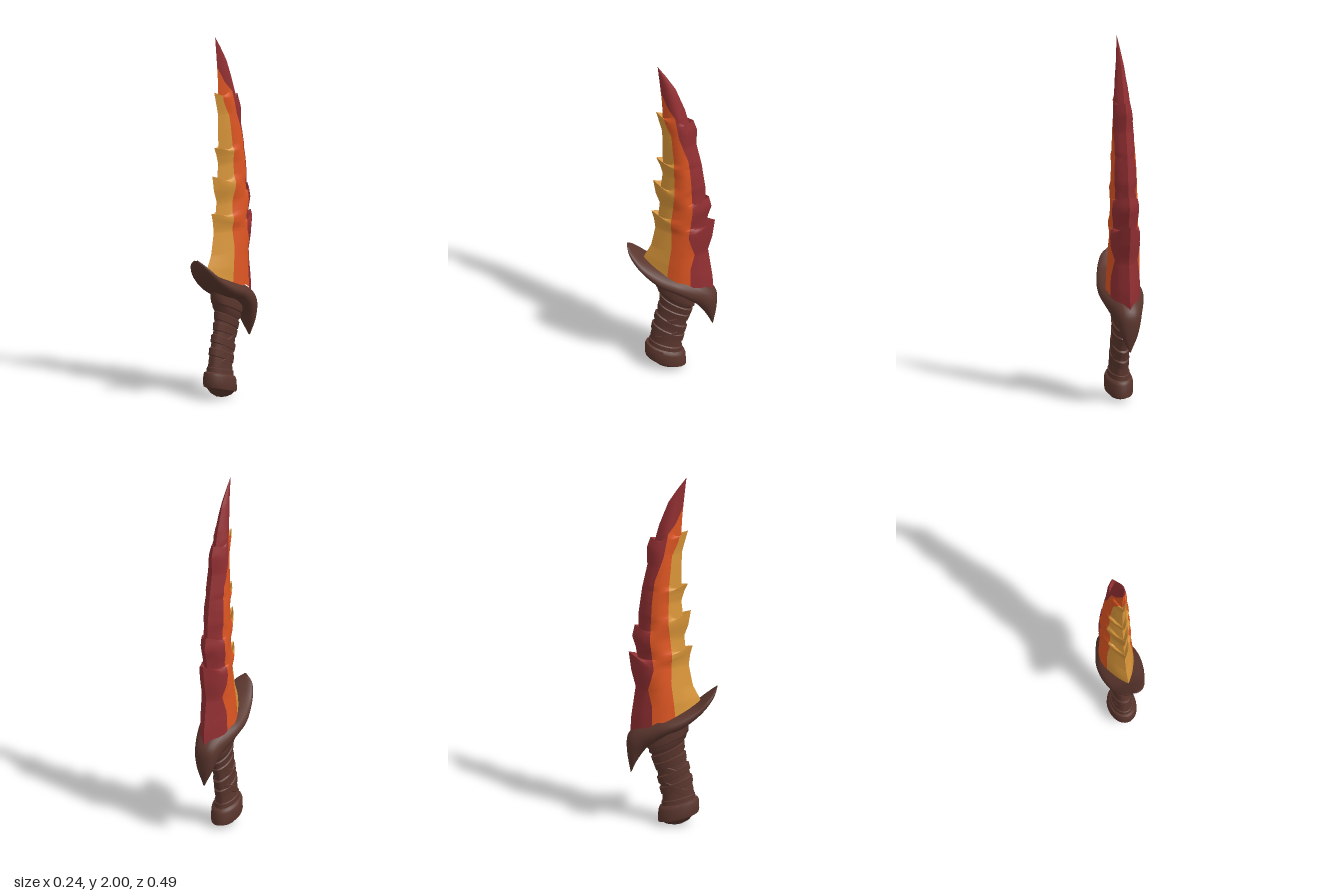
import * as THREE from 'three';
import { toCreasedNormals } from 'three/addons/utils/BufferGeometryUtils.js';

// Surface through rows of points; columns run to the right, rows run upward
function grid(rows, crease = 0.7) {
  const pos = [], idx = [], n = rows[0].length;
  rows.forEach(r => r.forEach(p => pos.push(...p)));
  for (let i = 0; i < rows.length - 1; i++) {
    for (let j = 0; j < n - 1; j++) {
      const a = i * n + j, b = a + 1, c = b + n, d = a + n;
      idx.push(a, b, c, a, c, d);
    }
  }
  const g = new THREE.BufferGeometry();
  g.setAttribute('position', new THREE.Float32BufferAttribute(pos, 3));
  g.setIndex(idx);
  return toCreasedNormals(g, crease);
}

// Piecewise linear lookup: table rows are [u, ...values]
function lookup(table, u) {
  let i = 0;
  while (i < table.length - 2 && u > table[i + 1][0]) i++;
  const a = table[i], b = table[i + 1];
  const t = THREE.MathUtils.clamp((u - a[0]) / (b[0] - a[0]), 0, 1);
  return a.slice(1).map((v, k) => v + (b[k + 1] - v) * t);
}

// Stack of tilted ellipses: [y, z, radiusX, radiusZ, tilt]
function ellipseLoft(rings, crease) {
  return grid(rings.map(([y, z, rx, rz, k]) => Array.from({ length: 33 }, (_, j) => {
    const a = j / 32 * Math.PI * 2, lz = rz * Math.cos(a);
    return [rx * Math.sin(a), y + k * lz, z + lz];
  })), crease);
}

// Blade edges as [row, y, z]; barbs fold upward over the notch above them
const FRONT = [
  [0.62, 0.68, 0.17], [0.72, 0.73, 0.15], [0.8, 0.8, 0.115], [0.92, 0.92, 0.092], [0.96, 0.98, 0.1],
  [1.0, 1.03, 0.113], [1.03, 0.98, 0.078], [1.1, 1.09, 0.068], [1.15, 1.15, 0.09], [1.19, 1.235, 0.104],
  [1.22, 1.17, 0.066], [1.3, 1.29, 0.052], [1.34, 1.345, 0.068], [1.365, 1.39, 0.088], [1.39, 1.34, 0.051],
  [1.57, 1.57, 0.055], [1.62, 1.635, 0.072], [1.66, 1.695, 0.088], [1.69, 1.64, 0.052], [1.75, 1.75, 0.055],
  [1.87, 1.87, 0.066], [2, 2, 0.08]];
const BACK = [
  [0.62, 0.5, -0.225], [0.68, 0.62, -0.22], [0.8, 0.8, -0.195], [0.88, 0.89, -0.218], [0.94, 1.0, -0.233],
  [0.98, 0.96, -0.183], [1.03, 1.03, -0.195], [1.08, 1.09, -0.214], [1.12, 1.155, -0.2], [1.15, 1.11, -0.18],
  [1.22, 1.22, -0.18], [1.37, 1.37, -0.16], [1.5, 1.5, -0.132], [1.59, 1.6, -0.135], [1.635, 1.66, -0.115],
  [1.665, 1.62, -0.097], [1.73, 1.73, -0.068], [1.86, 1.86, -0.018], [1.94, 1.94, 0.035], [2, 2, 0.08]];
// Colour borders [row, z], half width [row, x], cross-section [front to back, share of width]
const GOLD_END = [[0.62, 0.02], [0.72, 0.01], [0.84, -0.005], [1, 0], [1.18, -0.02], [1.4, -0.015],
  [1.56, 0], [1.63, 0.035], [1.72, 0.056], [1.73, 0.2], [2, 0.2]];
const ORANGE_END = [[0.62, -0.11], [0.72, -0.11], [0.8, -0.13], [0.92, -0.1], [1.08, -0.12], [1.29, -0.11],
  [1.42, -0.095], [1.56, -0.045], [1.69, -0.02], [1.74, 0.02], [1.83, 0.062], [1.84, 0.2], [2, 0.2]];
const WIDTH = [[0.62, 0.092], [1, 0.08], [1.35, 0.067], [1.6, 0.051], [1.8, 0.028], [1.93, 0.01], [2, 0]];
const PROFILE = [[0, 0], [0.2, 0.5], [0.42, 0.9], [0.55, 1], [0.68, 0.97], [0.85, 0.6], [1, 0]];

function bladePatches() {
  const levels = [...FRONT, ...BACK].map(p => p[0]);
  for (let i = 0; i <= 60; i++) levels.push(0.62 + 1.38 * i / 60);
  const us = [...new Set(levels.map(u => +u.toFixed(4)))].sort((a, b) => a - b);
  const gold = [], orange = [], orangeRight = [], red = [];
  const mirror = pts => pts.map(([x, y, z]) => [-x, y, z]).reverse();
  for (const u of us) {
    const [fy, fz] = lookup(FRONT, u), [ky, kz] = lookup(BACK, u), [w] = lookup(WIDTH, u);
    const point = z => {
      const s = THREE.MathUtils.clamp((fz - z) / Math.max(fz - kz, 1e-6), 0, 1);
      const y = u + (fy - u) * Math.max(0, 1 - s / 0.35) + (ky - u) * Math.max(0, (s - 0.65) / 0.35);
      return [w * lookup(PROFILE, s)[0], y, z];
    };
    const span = (a, b, n) => Array.from({ length: n + 1 }, (_, i) => point(a + (b - a) * i / n));
    const z1 = Math.min(fz, lookup(GOLD_END, u)[0]);
    const z2 = Math.min(fz, Math.max(kz, lookup(ORANGE_END, u)[0]));
    const g = span(fz, z1, 4), o = span(z1, z2, 4), r = span(z2, kz, 6);
    gold.push([...mirror(g), ...g.slice(1)]);
    orange.push(o);
    orangeRight.push(mirror(o));
    red.push([...r, ...mirror(r).slice(1)]);
  }
  return { gold, orange, orangeRight, red };
}

// Guard sections from front tip to rear hook: top [halfWidth, y, z] and bottom [y, z]
const GUARD = [
  [0.008, 0.797, 0.247, 0.79, 0.247], [0.05, 0.775, 0.225, 0.745, 0.232], [0.075, 0.745, 0.19, 0.695, 0.2],
  [0.095, 0.705, 0.14, 0.64, 0.15], [0.118, 0.66, 0.035, 0.57, 0.06], [0.119, 0.635, -0.05, 0.53, -0.03],
  [0.101, 0.61, -0.12, 0.48, -0.1], [0.081, 0.572, -0.19, 0.45, -0.135], [0.063, 0.515, -0.238, 0.41, -0.165],
  [0.042, 0.43, -0.242, 0.36, -0.195], [0.004, 0.305, -0.222, 0.31, -0.216]];

function guardGeometry() {
  const top = new THREE.CatmullRomCurve3(GUARD.map(g => new THREE.Vector3(g[0], g[1], g[2])));
  const bottom = new THREE.CatmullRomCurve3(GUARD.map(g => new THREE.Vector3(g[0], g[3], g[4])));
  const rows = [];
  for (let i = 0; i <= 40; i++) {
    const a = top.getPoint(i / 40), b = bottom.getPoint(i / 40);
    rows.push(Array.from({ length: 25 }, (_, j) => {
      const t = j / 24 * Math.PI * 2, k = (1 - Math.cos(t)) / 2;
      const s = Math.sin(t), x = Math.sign(s) * Math.pow(Math.abs(s), 0.85);
      return [a.x * x, a.y + (b.y - a.y) * k, a.z + (b.z - a.z) * k];
    }));
  }
  return grid(rows, 1.1);
}

const GRIP = [[0.13, 0.036, 0.055, 0.088, 0.25], [0.19, 0.034, 0.049, 0.083, 0.28], [0.26, 0.02, 0.045, 0.082, 0.3],
  [0.36, -0.004, 0.043, 0.079, 0.35], [0.42, -0.02, 0.045, 0.083, 0.4], [0.5, -0.025, 0.05, 0.09, 0.45]];

export function createModel() {
  const model = new THREE.Group();
  const material = (name, color) => new THREE.MeshStandardMaterial({ name, color });
  const brown = material('brown leather', 0x5a362d);
  const redMat = material('dark red', 0x922f32);
  const orangeMat = material('orange', 0xdd5522);
  const goldMat = material('gold', 0xda9639);
  const add = (name, geometry, mat) => {
    const mesh = new THREE.Mesh(geometry, mat);
    mesh.name = name;
    model.add(mesh);
  };

  // Flame blade in three colour zones
  const blade = bladePatches();
  add('bladeFrontFlame', grid(blade.gold), goldMat);
  add('bladeLeftSide', grid(blade.orange), orangeMat);
  add('bladeRightSide', grid(blade.orangeRight), orangeMat);
  add('bladeBackFlame', grid(blade.red), redMat);

  // Swept guard and the collar below it
  add('guard', guardGeometry(), brown);
  add('collar', ellipseLoft([
    [0.44, -0.022, 0.045, 0.08, 0.45], [0.462, -0.022, 0.056, 0.1, 0.45], [0.485, -0.02, 0.058, 0.103, 0.45],
    [0.49, -0.02, 0.064, 0.11, 0.45], [0.525, -0.02, 0.067, 0.112, 0.45], [0.56, -0.012, 0.064, 0.106, 0.4],
    [0.575, -0.01, 0.03, 0.05, 0.4]]), brown);

  // Grip with crossing leather wraps
  add('grip', ellipseLoft(GRIP, 1), brown);
  [[0.42, 0.5], [0.37, 0.42], [0.315, -0.3], [0.3, 0.5], [0.235, 0.42], [0.215, -0.35]].forEach(([y, tilt], i) => {
    const rings = [[-0.026, -0.006], [-0.02, 0.004], [0.016, 0.006], [0.024, -0.006]].map(([dy, dr]) => {
      const [z, rx, rz] = lookup(GRIP, y + dy);
      return [y + dy, z, rx + dr, rz + dr, tilt];
    });
    add('gripWrap' + (i + 1), ellipseLoft(rings), brown);
  });

  // Pommel
  add('pommel', ellipseLoft([
    [0.003, 0.022, 0.001, 0.001, 0], [0.008, 0.025, 0.025, 0.035, 0.08], [0.022, 0.03, 0.048, 0.066, 0.17],
    [0.045, 0.034, 0.063, 0.09, 0.24], [0.05, 0.036, 0.074, 0.11, 0.25], [0.065, 0.037, 0.077, 0.112, 0.25],
    [0.115, 0.038, 0.075, 0.11, 0.25], [0.13, 0.038, 0.07, 0.104, 0.25], [0.136, 0.037, 0.06, 0.092, 0.25],
    [0.16, 0.036, 0.058, 0.09, 0.25], [0.168, 0.036, 0.045, 0.075, 0.25]]), brown);
  return model;
}
